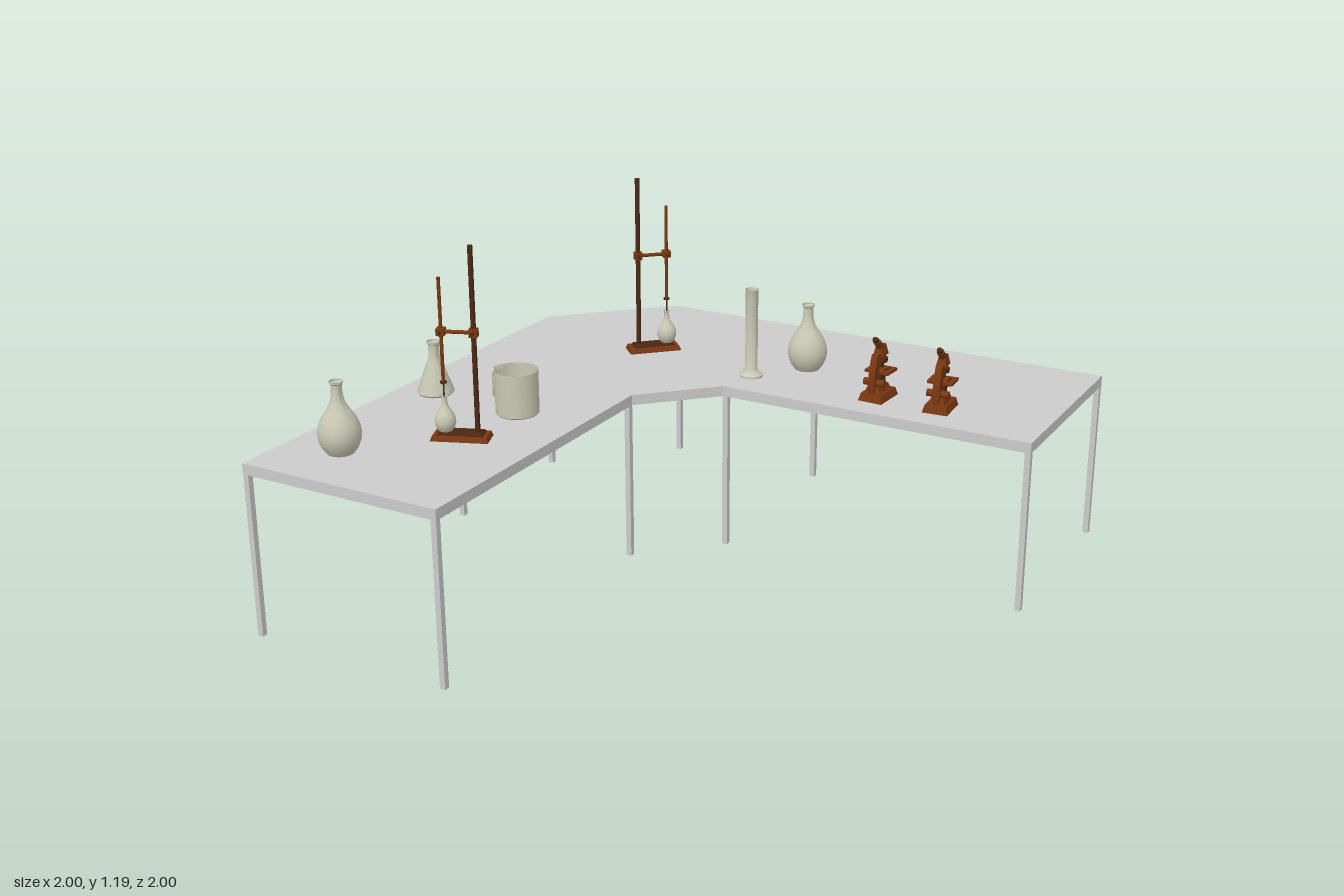
import * as THREE from 'three';
import { toCreasedNormals } from 'three/addons/utils/BufferGeometryUtils.js';

const TOP = 0.572, THICK = 0.035;
const grey = new THREE.MeshStandardMaterial({ color: 0xcccccc });
const glass = new THREE.MeshStandardMaterial({ color: 0xc8c8b4, side: THREE.DoubleSide });
const brown = new THREE.MeshStandardMaterial({ color: 0x7a3812 });
const dark = new THREE.MeshStandardMaterial({ color: 0x4a2812 });

function add(parent, name, geometry, material, x = 0, y = 0, z = 0) {
  const mesh = new THREE.Mesh(geometry, material);
  mesh.name = name;
  mesh.position.set(x, y, z);
  parent.add(mesh);
  return mesh;
}

function place(parent, name, x, z, angle = 0, y = TOP) {
  const group = new THREE.Group();
  group.name = name;
  group.position.set(x, y, z);
  group.rotation.y = angle;
  parent.add(group);
  return group;
}

const box = (w, h, d) => new THREE.BoxGeometry(w, h, d);
const rod = (r, h, r2 = r) => new THREE.CylinderGeometry(r2, r, h, 16);

// Box standing on y = 0 whose top is drawn in by an inset
function taperedBox(w, h, d, inset) {
  const g = box(w, h, d).translate(0, h / 2, 0);
  const p = g.attributes.position;
  for (let i = 0; i < p.count; i++) {
    if (p.getY(i) > h / 2) {
      p.setX(i, p.getX(i) - Math.sign(p.getX(i)) * inset);
      p.setZ(i, p.getZ(i) - Math.sign(p.getZ(i)) * inset);
    }
  }
  g.computeVertexNormals();
  return g;
}

// Cylinder between two points
function bar(parent, name, a, b, r, material, r2 = r) {
  const from = new THREE.Vector3(...a), to = new THREE.Vector3(...b);
  const dir = to.clone().sub(from);
  const mesh = add(parent, name, rod(r, dir.length(), r2), material);
  mesh.position.copy(from).add(to).multiplyScalar(0.5);
  mesh.quaternion.setFromUnitVectors(new THREE.Vector3(0, 1, 0), dir.normalize());
  return mesh;
}

function lathe(profile, sides = 28) {
  const g = new THREE.LatheGeometry(profile.map(([r, y]) => new THREE.Vector2(r, y)), sides);
  return toCreasedNormals(g, 0.7);
}

// Round flask with a drop-shaped body and an open neck
function roundFlask() {
  return lathe([[0, 0], [0.042, 0], [0.055, 0.018], [0.064, 0.04], [0.067, 0.062], [0.064, 0.085],
    [0.054, 0.11], [0.038, 0.135], [0.025, 0.157], [0.019, 0.178], [0.017, 0.2], [0.017, 0.218],
    [0.021, 0.222], [0.021, 0.228]]);
}

// Beaker with a small pouring lip towards -x
function beaker(r, h) {
  const g = new THREE.LatheGeometry([[0, 0], [r * 0.95, 0], [r, 0.004], [r, h * 0.9], [r, h]]
    .map(([a, b]) => new THREE.Vector2(a, b)), 32);
  const p = g.attributes.position;
  for (let i = 0; i < p.count; i++) {
    const x = p.getX(i);
    if (p.getY(i) > h * 0.95 && x < -r * 0.97) p.setX(i, x - r * 0.12);
  }
  return toCreasedNormals(g, 0.7);
}

// Stand with pole, clamp, burette and small flask; local +x points to the flask
function buretteStand(parent, x, z, angle) {
  const s = place(parent, 'buretteStand', x, z, angle);
  const px = -0.052, bx = 0.049, clampY = 0.343;
  add(s, 'standBase', taperedBox(0.182, 0.016, 0.08, 0.006), brown);
  add(s, 'standPlate', taperedBox(0.145, 0.008, 0.054, 0.004), dark, 0, 0.016);
  add(s, 'standPole', rod(0.008, 0.6), dark, px, 0.315);
  bar(s, 'clampBar', [px - 0.015, clampY, 0], [bx, clampY, 0], 0.006, brown);
  add(s, 'poleBoss', box(0.026, 0.026, 0.026), brown, px, clampY);
  bar(s, 'poleScrew', [px, clampY, -0.025], [px, clampY, 0.025], 0.005, dark);
  add(s, 'buretteGrip', box(0.026, 0.022, 0.03), brown, bx, clampY);
  bar(s, 'gripScrew', [bx, clampY, -0.024], [bx, clampY, 0.024], 0.005, dark);
  add(s, 'buretteTube', rod(0.0055, 0.33), brown, bx, 0.348);
  add(s, 'buretteTip', rod(0.0025, 0.085), dark, bx, 0.145);
  add(s, 'stopcock', rod(0.011, 0.005), dark, bx, 0.181);
  add(s, 'smallFlask', roundFlask().scale(0.5, 0.5, 0.5), glass, bx, 0.024);
}

// Microscope with its eyepiece leaning towards +z
function microscope(parent, x, z, angle) {
  const m = place(parent, 'microscope', x, z, angle);
  add(m, 'microscopeBase', taperedBox(0.084, 0.026, 0.122, 0.007), brown);
  add(m, 'baseStep', taperedBox(0.056, 0.022, 0.085, 0.008), brown, 0, 0.025, 0.005);
  add(m, 'lamp', rod(0.016, 0.026, 0.012), dark, 0, 0.055, -0.02);

  // Curved arm carrying the head
  const arm = new THREE.Shape();
  arm.moveTo(0.018, 0.025);
  arm.lineTo(0.05, 0.025);
  arm.quadraticCurveTo(0.06, 0.1, 0.032, 0.155);
  arm.lineTo(-0.03, 0.155);
  arm.lineTo(-0.03, 0.128);
  arm.lineTo(0.012, 0.122);
  arm.quadraticCurveTo(0.03, 0.08, 0.018, 0.025);
  const g = new THREE.ExtrudeGeometry(arm, { depth: 0.022, bevelEnabled: false, curveSegments: 8 });
  g.translate(0, 0, -0.011).rotateY(-Math.PI / 2);
  add(m, 'arm', g, brown);

  add(m, 'stage', box(0.084, 0.009, 0.07), brown, 0, 0.091, -0.015);
  add(m, 'stageSupport', box(0.04, 0.014, 0.05), dark, 0, 0.08, 0);
  for (const side of [-1, 1]) {
    bar(m, 'focusKnob', [side * 0.011, 0.06, 0.03], [side * 0.036, 0.06, 0.03], 0.012, brown);
    add(m, 'stageClip', box(0.005, 0.003, 0.04), dark, side * 0.022, 0.097, -0.015);
  }
  add(m, 'turret', rod(0.018, 0.014, 0.02), dark, 0, 0.125, -0.02);
  add(m, 'objective', rod(0.005, 0.022, 0.009), dark, 0, 0.109, -0.02);
  add(m, 'head', taperedBox(0.034, 0.035, 0.045, 0.007), brown, 0, 0.145, -0.01);
  bar(m, 'eyepieceTube', [0, 0.165, -0.014], [0, 0.2, 0.026], 0.012, brown);
  bar(m, 'eyepiece', [0, 0.194, 0.02], [0, 0.209, 0.037], 0.009, dark);
}

export function createModel() {
  const model = new THREE.Group();
  model.name = 'laboratoryBench';

  // Corner-shaped table top; shape y is -z
  const outline = [[-1, -0.65], [-0.65, -1], [1, -1], [1, -0.29], [-0.07, -0.29], [-0.29, -0.07], [-0.29, 1], [-1, 1]];
  const shape = new THREE.Shape(outline.map(([x, z]) => new THREE.Vector2(x, -z)));
  const slab = new THREE.ExtrudeGeometry(shape, { depth: THICK, bevelEnabled: false }).rotateX(-Math.PI / 2);
  add(model, 'tableTop', slab, grey, 0, TOP - THICK, 0);

  // Legs
  const legs = [[-0.99, 0.99], [-0.3, 0.99], [-0.3, -0.062], [-0.062, -0.3], [0.99, -0.3],
    [0.99, -0.99], [-0.062, -0.99], [-0.633, -0.99], [-0.99, -0.633], [-0.99, -0.062]];
  for (const [x, z] of legs) add(model, 'tableLeg', box(0.019, TOP - THICK, 0.019), grey, x, (TOP - THICK) / 2, z);

  // Glassware
  add(model, 'roundFlask', roundFlask(), glass, 0.095, TOP, -0.59);
  add(model, 'roundFlask', roundFlask(), glass, -0.8, TOP, 0.787);
  add(model, 'conicalFlask', lathe([[0, 0], [0.056, 0], [0.061, 0.006], [0.058, 0.018], [0.022, 0.115],
    [0.018, 0.13], [0.018, 0.168], [0.022, 0.172], [0.022, 0.178]]), glass, -0.867, TOP, 0.22);
  add(model, 'measuringCylinder', lathe([[0, 0], [0.04, 0], [0.04, 0.007], [0.028, 0.016], [0.021, 0.026],
    [0.021, 0.298], [0.023, 0.304]]), glass, -0.037, TOP, -0.43);
  add(model, 'largeBeaker', beaker(0.07, 0.146), glass, -0.525, TOP, 0.247);
  add(model, 'smallBeaker', beaker(0.037, 0.076), glass, -0.655, TOP, 0.135);

  // Instruments
  buretteStand(model, -0.468, -0.514, Math.PI / 4);
  buretteStand(model, -0.55, 0.515, Math.PI + 0.38);
  microscope(model, 0.423, -0.442, -0.06);
  microscope(model, 0.64, -0.442, 0.07);

  return model;
}
